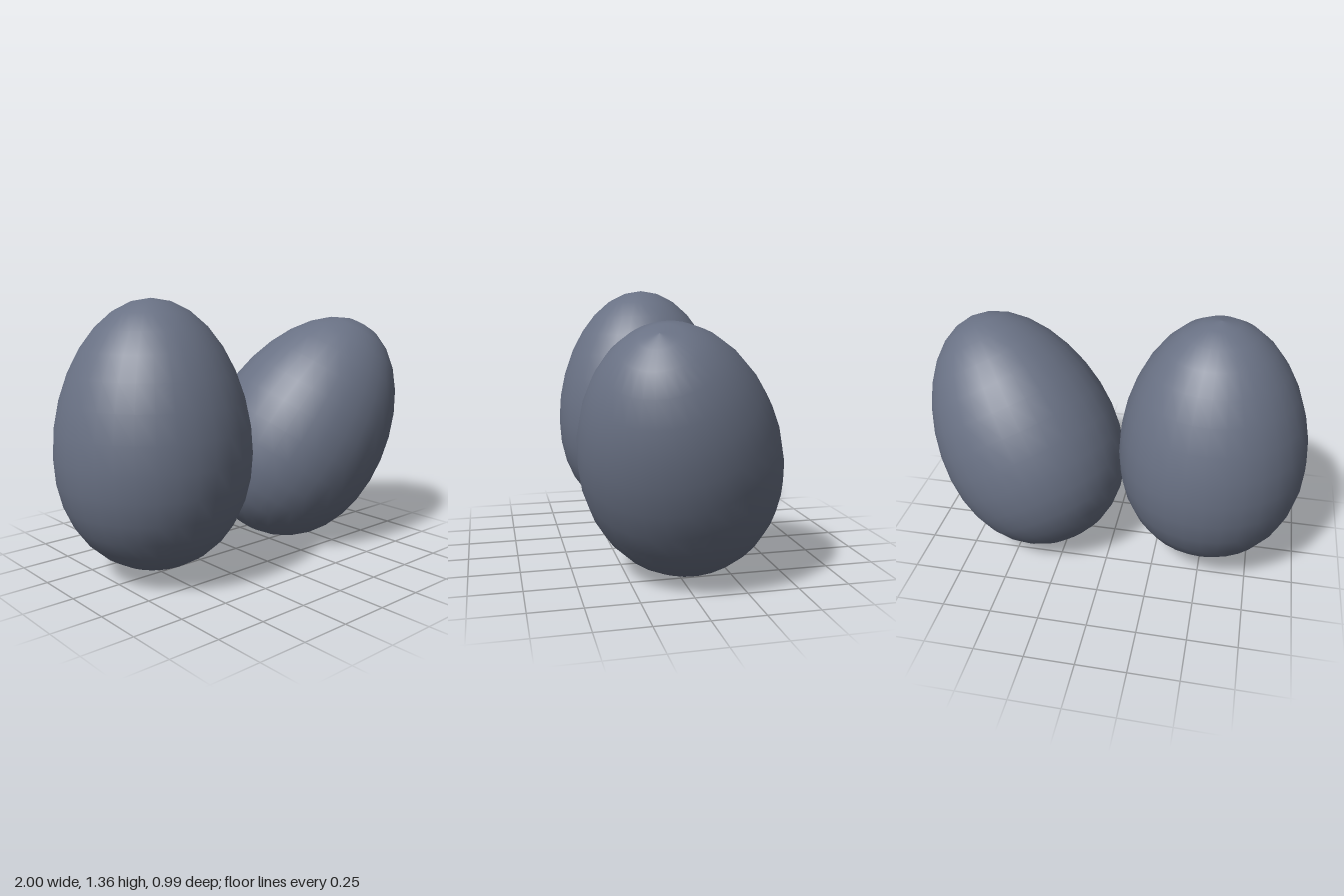
import * as THREE from 'three';

const slate = new THREE.MeshStandardMaterial({ color: 0x697184 });
slate.name = 'slate blue';

// Egg of revolution around y; origin at the widest ring, top more pointed than the base
function eggGeometry(radius = 0.483, halfHeight = 0.66, taper = 0.08, rings = 16) {
  const profile = [];
  for (let i = 0; i <= rings; i++) {
    const a = (i / rings) * Math.PI;
    const c = -Math.cos(a);
    const r = i === 0 || i === rings ? 0 : radius * Math.sin(a);
    profile.push(new THREE.Vector2(r, halfHeight * c + taper * c * c));
  }
  return new THREE.LatheGeometry(profile, 32);
}

export function createModel() {
  const group = new THREE.Group();
  group.name = 'pairOfEggs';
  const geometry = eggGeometry();

  // name, centre of the widest ring, direction of the pointed end
  const eggs = [
    ['uprightEgg', [-0.517, 0.62, -0.016], [0, 1, 0]],
    ['leaningEgg', [0.462, 0.558, -0.006], [0.465, 0.85, 0.247]],
  ];
  for (const [name, position, axis] of eggs) {
    const egg = new THREE.Mesh(geometry, slate);
    egg.name = name;
    egg.position.set(...position);
    egg.quaternion.setFromUnitVectors(
      new THREE.Vector3(0, 1, 0),
      new THREE.Vector3(...axis).normalize()
    );
    group.add(egg);
  }
  return group;
}
